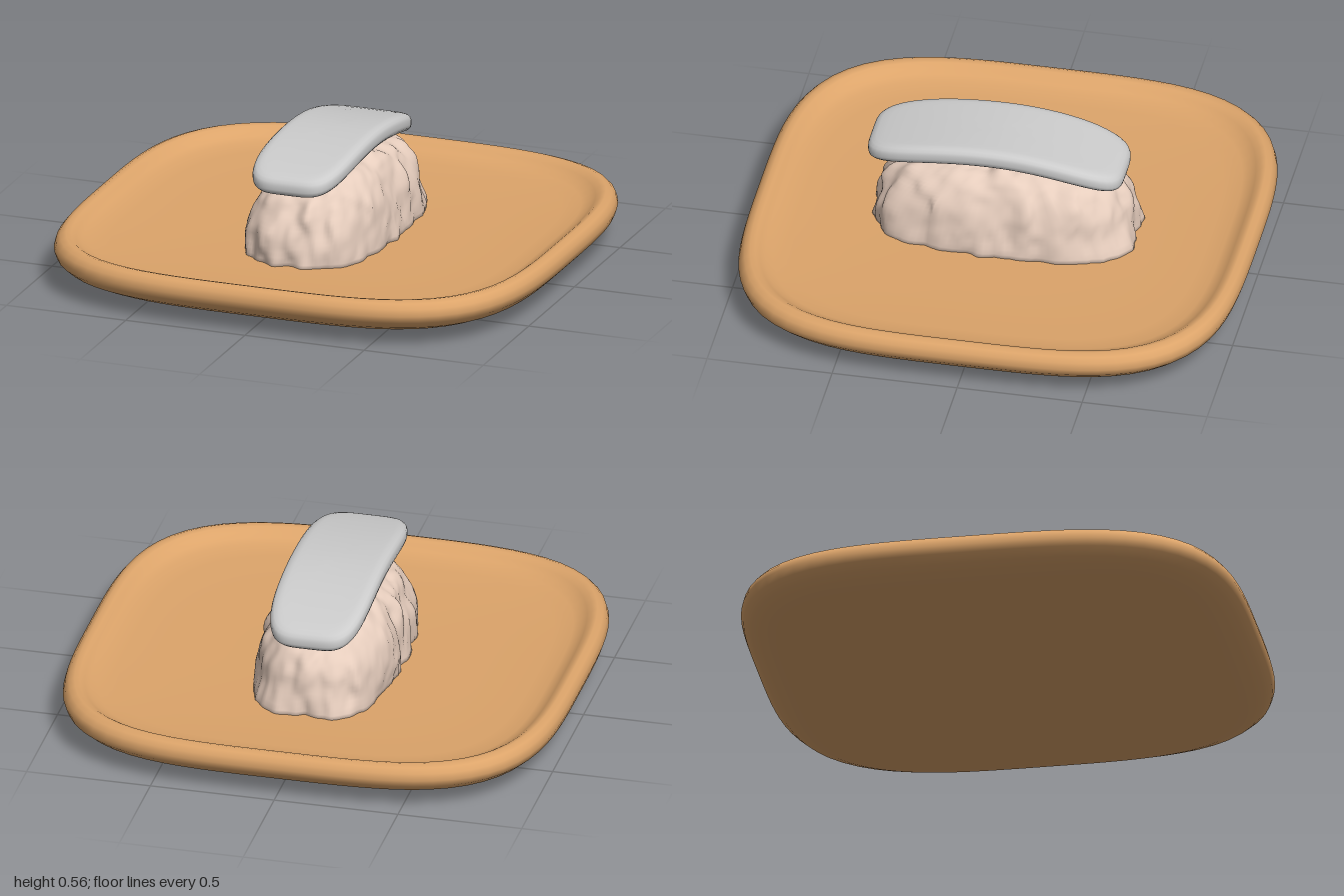
import * as THREE from 'three';

// Closed smooth skin through squarish rings [halfX, halfZ, y], listed from bottom to top.
function ringLoft(rings, power, segments, deform) {
  const pos = [], index = [], v = new THREE.Vector3();
  const add = (x, y, z) => {
    v.set(x, y, z);
    if (deform) deform(v);
    pos.push(v.x, v.y, v.z);
  };
  for (const [hx, hz, y] of rings) {
    for (let i = 0; i < segments; i++) {
      const a = (i / segments) * Math.PI * 2, c = Math.cos(a), s = Math.sin(a);
      const r = (Math.abs(c) ** power + Math.abs(s) ** power) ** (-1 / power);
      add(hx * r * c, y, hz * r * s);
    }
  }
  const last = rings.length - 1, bottom = pos.length / 3;
  add(0, rings[0][2], 0);
  add(0, rings[last][2], 0);
  for (let i = 0; i < segments; i++) {
    const j = (i + 1) % segments, top = last * segments;
    index.push(bottom, i, j, bottom + 1, top + j, top + i);
    for (let k = 0; k < last; k++) {
      const p = k * segments, q = p + segments;
      index.push(p + i, q + i, p + j, p + j, q + i, q + j);
    }
  }
  const g = new THREE.BufferGeometry();
  g.setAttribute('position', new THREE.Float32BufferAttribute(pos, 3));
  g.setIndex(index);
  g.computeVertexNormals();
  return g;
}

// Smooth repeatable noise in 0..1
function hash(x, y, z) {
  const n = Math.sin(x * 127.1 + y * 311.7 + z * 74.7) * 43758.5453;
  return n - Math.floor(n);
}
function noise(x, y, z) {
  const ix = Math.floor(x), iy = Math.floor(y), iz = Math.floor(z);
  const f = (t) => t * t * (3 - 2 * t);
  const u = f(x - ix), w = f(y - iy), t = f(z - iz);
  let sum = 0;
  for (let a = 0; a < 2; a++)
    for (let b = 0; b < 2; b++)
      for (let c = 0; c < 2; c++)
        sum += hash(ix + a, iy + b, iz + c) * (a ? u : 1 - u) * (b ? w : 1 - w) * (c ? t : 1 - t);
  return sum;
}

function makePart(name, geometry, color) {
  const m = new THREE.Mesh(geometry, new THREE.MeshStandardMaterial({ color }));
  m.name = name;
  return m;
}

function createPlate() {
  // Flat underside, rolled rim and shallow dish
  const profile = [
    [0.3, 0], [0.55, 0.005], [0.72, 0.015], [0.83, 0.03], [0.91, 0.05], [0.96, 0.075],
    [0.99, 0.105], [1, 0.135], [0.993, 0.162], [0.978, 0.181], [0.957, 0.19],
    [0.938, 0.185], [0.92, 0.171], [0.9, 0.155], [0.87, 0.143], [0.8, 0.134], [0.6, 0.128], [0.3, 0.125],
  ];
  return makePart('plate', ringLoft(profile.map(([r, y]) => [r, r, y]), 3.6, 96), 0xdca46a);
}

function createRice() {
  // Rounded block with grain-sized lumps
  const base = 0.115, height = 0.34, rings = [[0.22, 0.46, base]];
  for (let k = 0; k <= 30; k++) {
    const a = (k / 30) * Math.PI * 0.49;
    const s = Math.cos(a) ** 0.55;
    rings.push([0.268 * s, 0.525 * s, base + height * Math.sin(a) ** 0.85]);
  }
  const lumps = (p) => {
    const grain = noise(p.x * 17 + 40, p.y * 9 + 7, p.z * 17 + 40) - 0.5;
    const fine = noise(p.x * 34 + 90, p.y * 20 + 3, p.z * 34 + 90) - 0.5;
    const d = grain * 0.045 + fine * 0.014;
    const len = Math.hypot(p.x, p.z) || 1;
    const up = Math.max(0, (p.y - base) / height) ** 3;
    p.x += (p.x / len) * d * (1 - 0.6 * up);
    p.z += (p.z / len) * d * (1 - 0.6 * up);
    p.y += d * 0.7 * up;
  };
  return makePart('rice', ringLoft(rings, 2.9, 160, lumps), 0xe6cdbd);
}

function createTopping() {
  // Thin slab with rounded edges, drooping over both ends
  const hx = 0.194, hz = 0.51, rings = [];
  const inner = [0.2, 0.4, 0.6, 0.8, 0.93];
  const edge = [[0.03, 0.485], [0.012, 0.488], [0.003, 0.499], [0, 0.512], [0, 0.53], [0.004, 0.542], [0.014, 0.551], [0.03, 0.555]];
  for (const s of inner) rings.push([(hx - 0.03) * s, (hz - 0.03) * s, 0.485]);
  for (const [inset, y] of edge) rings.push([hx - inset, hz - inset, y]);
  for (const s of inner.slice().reverse()) rings.push([(hx - 0.03) * s, (hz - 0.03) * s, 0.556]);
  const droop = (p) => {
    p.x -= 0.003;
    p.z += 0.035;
    const d = p.z - 0.05;
    p.y -= (d > 0 ? 0.26 : 0.35) * d * d;
  };
  return makePart('topping', ringLoft(rings, 4.5, 96, droop), 0xcccccc);
}

export function createModel() {
  const model = new THREE.Group();
  model.name = 'sushiOnPlate';
  model.add(createPlate(), createRice(), createTopping());
  return model;
}
